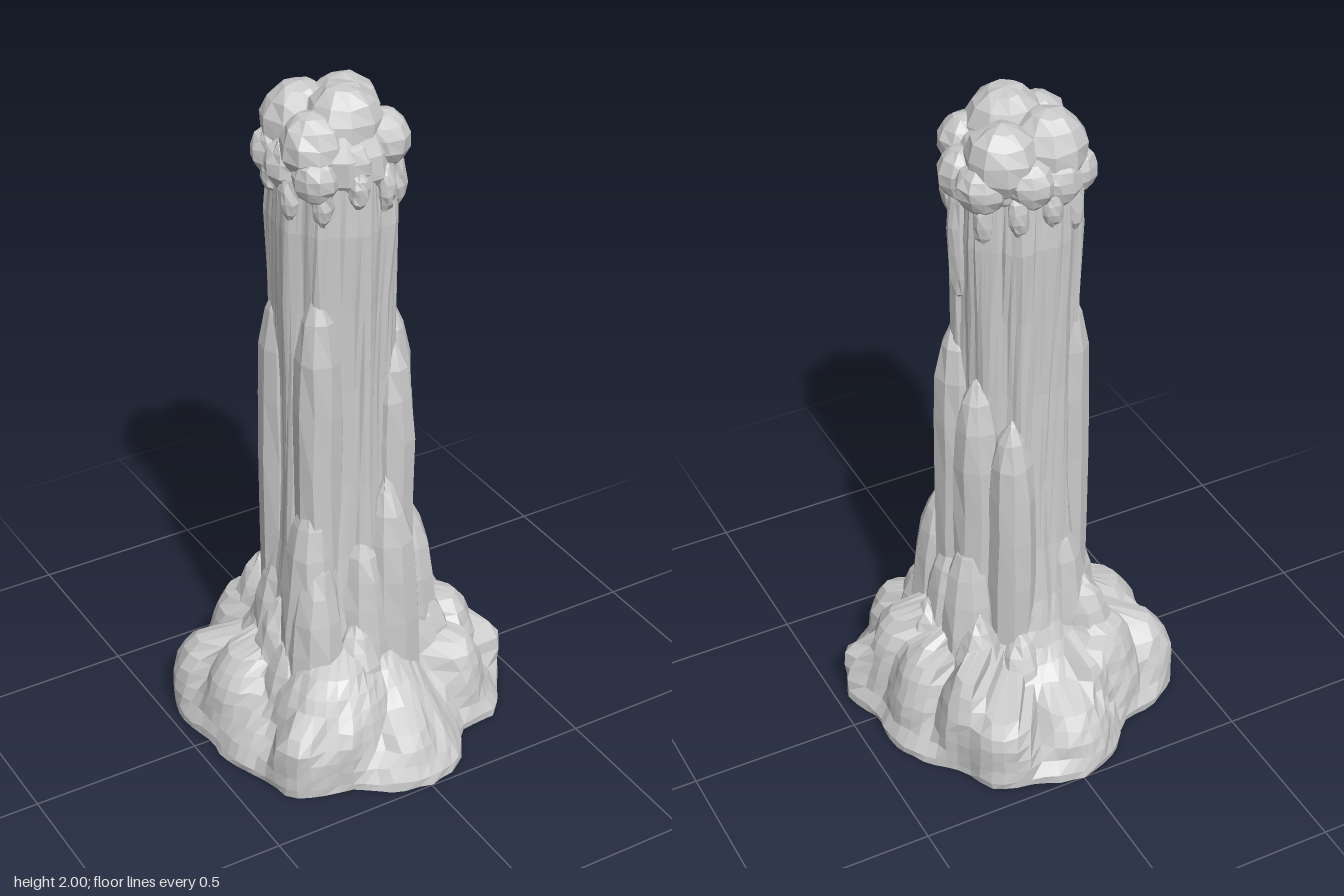
import * as THREE from 'three';

const stone = new THREE.MeshStandardMaterial({ color: 0xcacaca, side: THREE.DoubleSide });
stone.name = 'pale grey stone';

// Repeatable value in -1..1 from a position, so shared corners move together
function noise(x, y, z) {
  const s = Math.sin(Math.round(x * 500) * 12.99 + Math.round(y * 500) * 78.23 + Math.round(z * 500) * 37.72) * 43758.5;
  return (s - Math.floor(s)) * 2 - 1;
}

// Chip the corners a little and give every facet its own normal
function chip(geometry, amount) {
  const p = geometry.attributes.position;
  for (let i = 0; i < p.count; i++) {
    const x = p.getX(i), y = p.getY(i), z = p.getZ(i);
    p.setXYZ(i, x + amount * noise(x, y, z), y + amount * noise(y, z, x), z + amount * noise(z, x, y));
  }
  const faceted = geometry.toNonIndexed();
  faceted.computeVertexNormals();
  return faceted;
}

function add(group, name, geometry, x = 0, y = 0, z = 0) {
  const mesh = new THREE.Mesh(geometry, stone);
  mesh.name = name;
  mesh.position.set(x, y, z);
  group.add(mesh);
}

function addGroup(parent, name) {
  const group = new THREE.Group();
  group.name = name;
  parent.add(group);
  return group;
}

// Column axis
const axisX = -0.025, axisZ = -0.008;

// Radius of the lobed foot every 15 degrees, from the front round by the left
const lobes = [
  0.5, 0.47, 0.4, 0.46, 0.46, 0.48, 0.43, 0.45, 0.45, 0.44, 0.5, 0.485,
  0.505, 0.475, 0.42, 0.47, 0.5, 0.49, 0.45, 0.465, 0.47, 0.51, 0.46, 0.48,
];

// Column profile: height, flare towards the foot outline, column radius
const levels = [
  [0.005, 1, 0.18], [0.03, 1, 0.18], [0.07, 0.92, 0.18], [0.11, 0.81, 0.18], [0.15, 0.68, 0.18],
  [0.19, 0.55, 0.18], [0.23, 0.42, 0.18], [0.27, 0.3, 0.18], [0.31, 0.21, 0.18], [0.36, 0.14, 0.18],
  [0.45, 0.08, 0.177], [0.62, 0.03, 0.174], [0.85, 0, 0.171], [1.15, 0, 0.167], [1.4, 0, 0.17],
  [1.62, 0, 0.176], [1.8, 0, 0.165], [1.88, 0, 0.01],
];

// Domes swelling out of the foot: x, z, radius, top
const mounds = [
  [-0.16, 0.21, 0.2, 0.35], [-0.2, 0.365, 0.06, 0.22], [-0.31, 0.3, 0.11, 0.22], [-0.3, -0.02, 0.15, 0.3],
  [-0.34, -0.18, 0.13, 0.25], [-0.19, -0.22, 0.14, 0.36], [-0.02, -0.36, 0.14, 0.23], [-0.1, -0.33, 0.07, 0.29],
  [0.19, -0.36, 0.12, 0.26], [0.24, -0.26, 0.11, 0.34], [0.28, -0.09, 0.14, 0.32], [0.28, 0.07, 0.14, 0.34],
  [0.41, 0.14, 0.065, 0.2], [0.24, 0.22, 0.11, 0.3], [-0.02, 0.38, 0.11, 0.18],
];

// Distance from the axis, along angle a at height y, at which a mound ends
function moundReach([mx, mz, radius, top], a, y) {
  if (y >= top) return 0;
  const dx = mx - axisX, dz = mz - axisZ;
  const along = dx * Math.sin(a) + dz * Math.cos(a), across = dx * Math.cos(a) - dz * Math.sin(a);
  const chord = radius ** 2 * (1 - (y / top) ** 2) - across ** 2;
  return chord > 0 ? along + Math.sqrt(chord) : 0;
}

// Hollow fluted column with a lumpy foot, open underneath
function bodyGeometry() {
  const curve = new THREE.CatmullRomCurve3(lobes.map((r, i) => {
    const a = (i / lobes.length) * Math.PI * 2;
    return new THREE.Vector3(r * Math.sin(a), 0, r * Math.cos(a));
  }), true);
  const n = 80, position = [], index = [];
  levels.forEach(([y, flare, radius], j) => {
    for (let i = 0; i < n; i++) {
      const foot = curve.getPoint(i / n);
      const a = Math.atan2(foot.x - axisX, foot.z - axisZ);
      const footRadius = Math.hypot(foot.x - axisX, foot.z - axisZ);
      const column = Math.max(0.01, radius + 0.006 * Math.sin(a * 9 + y) + 0.003 * Math.sin(a * 14 + 2 - y));
      let r = column + (footRadius - column) * flare;
      for (const mound of mounds) r = Math.max(r, Math.min(footRadius, moundReach(mound, a, y)));
      position.push(axisX + r * Math.sin(a), y, axisZ + r * Math.cos(a));
      if (j < levels.length - 1) {
        const k = j * n, next = (i + 1) % n;
        index.push(k + i, k + next, k + n + next, k + i, k + n + next, k + n + i);
      }
    }
  });
  const g = new THREE.BufferGeometry();
  g.setAttribute('position', new THREE.Float32BufferAttribute(position, 3));
  g.setIndex(index);
  return chip(g, 0.004);
}

// Blunt spire hugging the column, leaning inwards towards its tip
function spireGeometry(x, z, top, { radius, bottom, taper, lean }) {
  const height = top - bottom, profile = [];
  for (let i = 0; i <= 7; i++) {
    const depth = height * (1 - i / 7) ** 2;
    profile.push(new THREE.Vector2(Math.max(0.001, radius * (1 - Math.exp(-depth / taper))), height - depth));
  }
  const g = new THREE.LatheGeometry(profile, 9);
  const p = g.attributes.position;
  for (let i = 0; i < p.count; i++) {
    const k = 1 - lean * p.getY(i) / height;
    p.setXYZ(i, p.getX(i) + x * k, p.getY(i) + bottom, p.getZ(i) + z * k);
  }
  return chip(g, 0.004);
}

// Spires as x, z, tip height, one shape per tier
const spireTiers = [
  { name: 'tall spire', radius: 0.07, bottom: 0.32, taper: 0.08, lean: 0, places: [
    [-0.135, 0.1, 1.46], [-0.15, -0.07, 1.42], [0.13, 0.03, 1.33],
    [0.095, 0.105, 1.24], [0.125, -0.08, 1.2], [0.06, -0.16, 1.08]] },
  { name: 'middle spire', radius: 0.09, bottom: 0.22, taper: 0.13, lean: 0.12, places: [
    [-0.18, 0.12, 0.85], [0.06, 0.17, 0.85], [-0.19, 0.16, 0.69], [0.16, 0.12, 0.73], [0.17, -0.1, 0.69],
    [-0.03, 0.17, 0.7], [-0.11, -0.15, 0.7], [-0.19, -0.05, 0.6], [0.03, -0.16, 0.6], [0.17, 0.02, 0.62]] },
  { name: 'low spire', radius: 0.09, bottom: 0.16, taper: 0.09, lean: 0.1, places: [
    [-0.08, 0.22, 0.43], [0.19, 0.16, 0.44], [0.18, -0.18, 0.43], [-0.18, -0.2, 0.47], [0.25, 0.03, 0.38],
    [-0.23, 0.03, 0.46], [-0.25, 0.12, 0.38], [0.07, -0.24, 0.37]] },
];

// Faceted boulder
function boulderGeometry(radius, halfHeight) {
  const g = new THREE.SphereGeometry(1, 10, 7);
  g.scale(radius, halfHeight, radius);
  return chip(g, 0.004);
}

// Crown boulders: x, y, z, radius
const boulders = [
  [-0.02, 1.885, 0.035, 0.11], [-0.085, 1.865, -0.08, 0.105], [0.05, 1.86, -0.085, 0.1],
  [-0.12, 1.85, 0.05, 0.09], [0.07, 1.84, 0.08, 0.078], [0.115, 1.8, 0.0, 0.075],
  [-0.16, 1.79, 0.0, 0.068], [-0.15, 1.79, -0.09, 0.068], [-0.04, 1.81, 0.1, 0.07],
  [0.11, 1.8, -0.09, 0.07], [0, 1.81, -0.14, 0.07], [-0.08, 1.8, -0.14, 0.066], [-0.14, 1.78, 0.1, 0.063],
];

export function createModel() {
  const model = new THREE.Group();
  model.name = 'rock pillar';
  add(model, 'column and lumpy foot', bodyGeometry());

  const spires = addGroup(model, 'spires');
  for (const tier of spireTiers) {
    for (const [x, z, top] of tier.places) add(spires, tier.name, spireGeometry(x, z, top, tier));
  }

  const crown = addGroup(model, 'crown');
  add(crown, 'crown core', boulderGeometry(0.18, 0.14), axisX, 1.8, axisZ);
  for (const [x, y, z, radius] of boulders) add(crown, 'crown boulder', boulderGeometry(radius, radius * 1.05), x, y, z);

  // Drips hanging round the crown, with one long one on the left side
  for (let i = 0; i < 11; i++) {
    const a = (i / 11) * Math.PI * 2 + 0.45;
    const half = i === 2 ? 0.19 : 0.07 + 0.02 * Math.sin(i * 2.4);
    add(crown, 'drip', boulderGeometry(0.03, half), axisX + 0.165 * Math.sin(a), 1.8 - half, axisZ + 0.165 * Math.cos(a));
  }
  return model;
}
